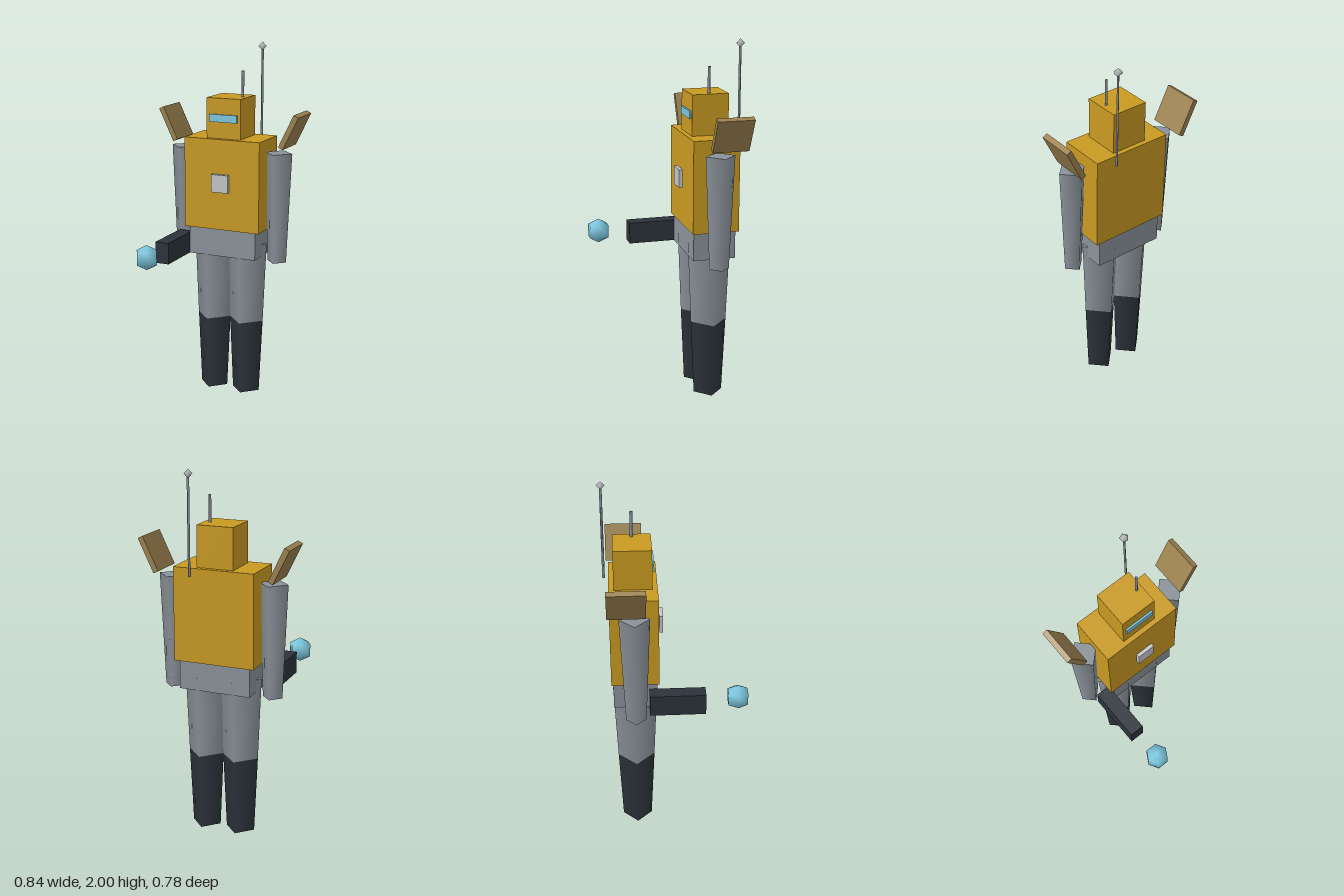
import * as THREE from 'three';

export function createModel() {
  const root = new THREE.Group();
  root.name = 'robot';

  const mat = (name, color) => {
    const m = new THREE.MeshStandardMaterial({ color });
    m.name = name;
    return m;
  };
  const gold = mat('gold armour', 0xc99a22);
  const steel = mat('steel grey', 0x8a9299);
  const dark = mat('dark gunmetal', 0x2b333a);
  const tan = mat('tan plate', 0x9c8250);
  const cyan = mat('cyan glow', 0x7cc8e0);
  const silver = mat('pale silver', 0xc4c6ca);

  const add = (name, geometry, material, x, y, z) => {
    const mesh = new THREE.Mesh(geometry, material);
    mesh.name = name;
    mesh.position.set(x, y, z);
    root.add(mesh);
    return mesh;
  };
  const box = (name, w, h, d, material, x, y, z) =>
    add(name, new THREE.BoxGeometry(w, h, d), material, x, y, z);
  // four-sided tapered limb with its corners on the x and z axes
  const limb = (name, rTop, rBottom, yTop, yBottom, material, x, z) =>
    add(name, new THREE.CylinderGeometry(rTop, rBottom, yTop - yBottom, 4), material,
      x, (yTop + yBottom) / 2, z);

  const Z = -0.214; // body axis

  // body
  box('torso', 0.45, 0.51, 0.257, gold, 0, 1.232, Z);
  box('pelvis', 0.4, 0.157, 0.235, steel, 0, 0.898, Z);
  box('chestPlate', 0.1, 0.1, 0.02, silver, 0, 1.245, -0.066);

  // head
  box('head', 0.203, 0.224, 0.203, gold, 0, 1.598, Z);
  box('visor', 0.165, 0.042, 0.02, cyan, 0, 1.6, -0.112);
  limb('headAntenna', 0.008, 0.008, 1.853, 1.69, steel, 0.07, Z);

  // back antenna with a faceted tip
  limb('backAntenna', 0.007, 0.007, 1.97, 1.446, steel, 0.121, -0.367);
  const tip = add('antennaTip', new THREE.SphereGeometry(0.024, 5, 2), silver, 0.121, 1.976, -0.367);
  tip.rotation.y = Math.PI;

  // arms, shoulder plates and legs
  for (const [side, s] of [['left', 1], ['right', -1]]) {
    limb(side + 'Arm', 0.081, 0.055, 1.415, 0.796, steel, s * 0.285, Z);
    const plate = box(side + 'ShoulderPlate', 0.03, 0.2, 0.2, tan, s * 0.362, 1.54, -0.255);
    plate.rotation.z = -s * 0.45;
    limb(side + 'Thigh', 0.121, 0.102, 0.888, 0.43, steel, s * 0.101, Z);
    limb(side + 'Shin', 0.102, 0.082, 0.43, 0, dark, s * 0.101, Z);
  }

  // forearm cannon and floating energy ball
  box('cannon', 0.08, 0.12, 0.302, dark, -0.245, 0.877, 0.011);
  add('energyBall', new THREE.SphereGeometry(0.07, 6, 3), cyan, -0.245, 0.897, 0.335);

  return root;
}
